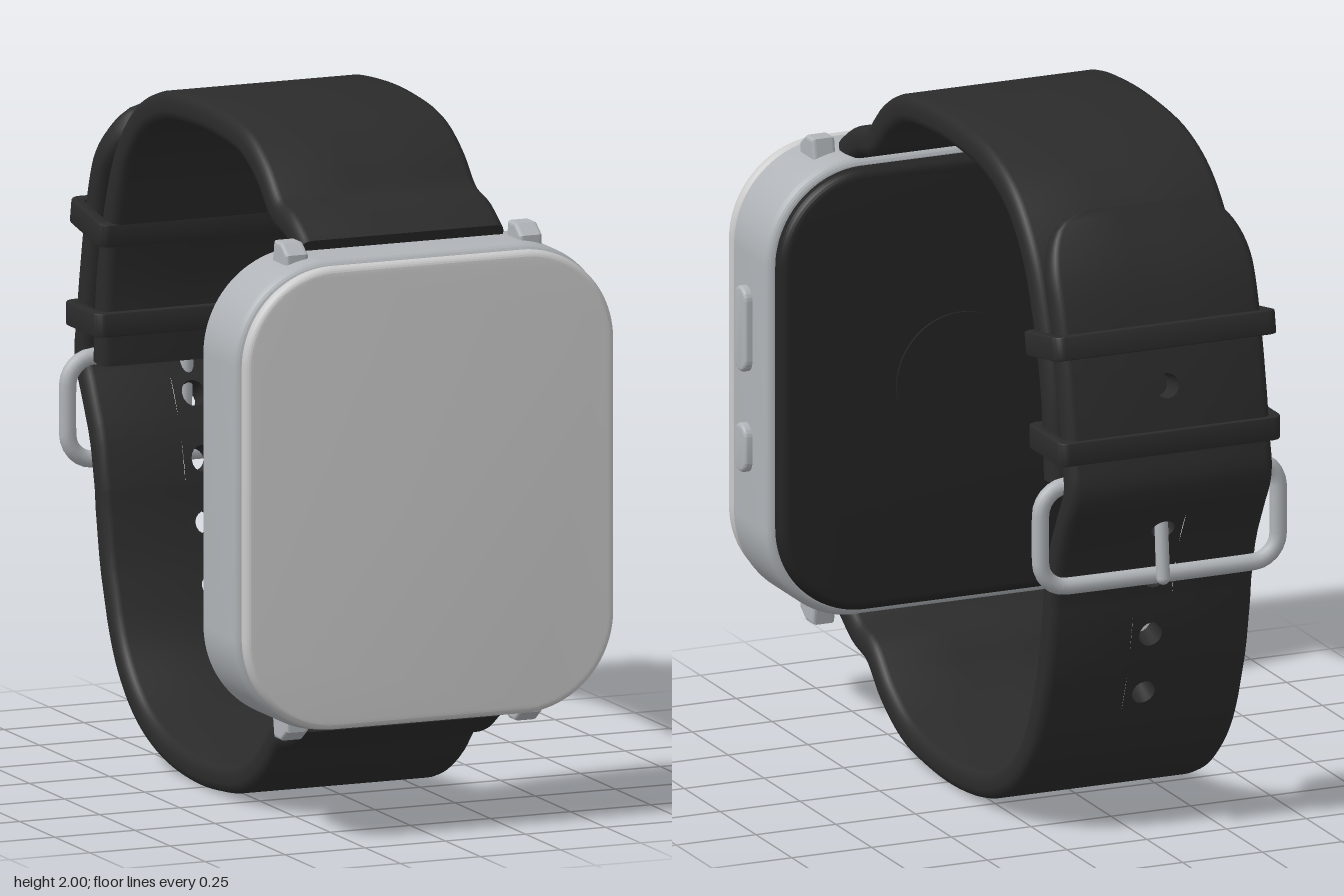
import * as THREE from 'three';
import { toCreasedNormals } from 'three/addons/utils/BufferGeometryUtils.js';

const material = (name, color) => Object.assign(new THREE.MeshStandardMaterial({ color }), { name });

// Rounded rectangle outline centred on the origin
function roundRect(w, h, r, Type = THREE.Shape) {
  const s = new Type(), x = w / 2, y = h / 2;
  s.absarc(x - r, y - r, r, 0, Math.PI / 2);
  s.absarc(r - x, y - r, r, Math.PI / 2, Math.PI);
  s.absarc(r - x, r - y, r, Math.PI, Math.PI * 1.5);
  s.absarc(x - r, r - y, r, Math.PI * 1.5, Math.PI * 2);
  s.closePath();
  return s;
}

// Rounded slab with softened edges, centred, thickness along z
function slab(w, h, r, depth, bevel) {
  const g = new THREE.ExtrudeGeometry(roundRect(w - 2 * bevel, h - 2 * bevel, r - bevel), {
    depth: depth - 2 * bevel, bevelThickness: bevel, bevelSize: bevel, bevelSegments: 6, curveSegments: 16,
  });
  g.translate(0, 0, bevel - depth / 2);
  return toCreasedNormals(g, 0.2);
}

// Strap swept along (z, y) path points, with punched holes at given heights and an optional rounded tip
function strapGeometry(path, half, h, holeHeights = [], tip = 0) {
  const curve = new THREE.CatmullRomCurve3(path.map(([z, y]) => new THREE.Vector3(0, y, z)), false, 'centripetal');
  curve.arcLengthDivisions = 800;
  const length = curve.getLength(), cell = 0.06, hole = 0.036, r = 0.028;
  const widthAt = (s) => {
    const d = tip ? Math.min(1, (length - s) / tip) : 1;
    return half - 0.13 * (1 - Math.sqrt(Math.max(0, 1 - (1 - d) ** 2)));
  };
  const place = (s, x, t) => {
    const u = Math.min(1, Math.max(0, s / length));
    const p = curve.getPointAt(u), d = curve.getTangentAt(u);
    return [x * widthAt(s) / half, p.y + d.z * t, p.z - d.y * t];
  };

  // Cross-section: flat faces with rounded edges
  const loop = [[-cell, -h], [cell, -h]];
  const corner = (x, y, a) => {
    for (let k = 0; k < 4; k++) {
      const b = a + k * Math.PI / 6;
      loop.push([x + r * Math.cos(b), y + r * Math.sin(b)]);
    }
  };
  corner(half - r, r - h, -Math.PI / 2);
  corner(half - r, h - r, 0);
  loop.push([cell, h], [-cell, h]);
  corner(r - half, h - r, Math.PI / 2);
  corner(r - half, r - h, Math.PI);

  // Arc length at which the rear part of the strap reaches each hole height
  const centres = holeHeights.map((y) => {
    let best = 0, gap = 9;
    for (let u = 0.4; u < 1; u += 0.002) {
      const e = Math.abs(curve.getPointAt(u).y - y);
      if (e < gap) { gap = e; best = u * length; }
    }
    return best;
  });
  const stations = centres.flatMap((c) => [c - cell, c + cell]);
  const n = Math.round(length / 0.025);
  for (let i = 0; i <= n; i++) {
    const s = i * length / n;
    if (!centres.some((c) => Math.abs(s - c) < cell + 0.004)) stations.push(s);
  }
  stations.sort((a, b) => a - b);

  const verts = [];
  const quad = (a, b, c, d) => verts.push(...a, ...b, ...c, ...a, ...c, ...d);
  const rows = stations.map((s) => loop.map(([x, t]) => place(s, x, t)));
  for (let i = 0; i < rows.length - 1; i++) {
    const mid = (stations[i] + stations[i + 1]) / 2;
    const punched = centres.some((c) => Math.abs(mid - c) < 0.01);
    for (let j = 0; j < loop.length; j++) {
      if (punched && (j === 0 || j === 10)) continue;
      const k = (j + 1) % loop.length;
      quad(rows[i][j], rows[i][k], rows[i + 1][k], rows[i + 1][j]);
    }
  }
  const last = rows[rows.length - 1];
  for (let j = 1; j < loop.length - 1; j++) {
    verts.push(...rows[0][0], ...rows[0][j + 1], ...rows[0][j]);
    verts.push(...last[0], ...last[j], ...last[j + 1]);
  }
  // Faces around each hole and the hole walls
  for (const c of centres) {
    const at = (k, t, outer) => {
      const a = k * Math.PI / 8, cs = Math.cos(a), sn = Math.sin(a);
      const q = outer ? cell / Math.max(Math.abs(cs), Math.abs(sn)) : hole;
      return place(c + cs * q, sn * q, t);
    };
    for (let k = 0; k < 16; k++) {
      quad(at(k, h), at(k, h, true), at(k + 1, h, true), at(k + 1, h));
      quad(at(k + 1, -h), at(k + 1, -h, true), at(k, -h, true), at(k, -h));
      quad(at(k, h), at(k + 1, h), at(k + 1, -h), at(k, -h));
    }
  }
  const g = new THREE.BufferGeometry();
  g.setAttribute('position', new THREE.Float32BufferAttribute(verts, 3));
  return toCreasedNormals(g, 0.7);
}

export function createModel() {
  const silver = material('silver metal', 0xb0b4b8);
  const glass = material('pale screen', 0xcbcbcb);
  const black = material('black strap', 0x2b2b2b);
  const dark = material('dark back', 0x242424);
  const model = new THREE.Group();
  model.name = 'wristwatch';
  model.position.x = -0.0125;
  const add = (name, geometry, mat, x = 0, y = 0, z = 0) => {
    const m = new THREE.Mesh(geometry, mat);
    m.name = name;
    m.position.set(x, y, z);
    model.add(m);
    return m;
  };

  // Case, screen and back
  const midY = 1.01;
  add('case', slab(1.175, 1.37, 0.29, 0.25, 0.03), silver, 0, midY, 0.747);
  add('screenGap', slab(1.11, 1.31, 0.26, 0.03, 0.003), dark, 0, midY, 0.872);
  add('screen', slab(1.155, 1.35, 0.28, 0.046, 0.022), glass, 0, midY, 0.901);
  add('backPlate', slab(1.12, 1.32, 0.27, 0.08, 0.03), dark, 0, midY, 0.622);
  const sensor = new THREE.CylinderGeometry(0.2, 0.2, 0.009, 48).rotateX(Math.PI / 2);
  add('backSensor', sensor, dark, 0, midY, 0.579);

  // Side buttons
  for (const [name, y, h] of [['longButton', 1.185, 0.255], ['shortButton', 0.83, 0.145]]) {
    add(name, slab(0.08, h, 0.039, 0.07, 0.012).rotateY(Math.PI / 2), silver, 0.577, y, 0.76);
  }

  // Four lugs, mirrored top to bottom
  const lugShape = new THREE.Shape([[0.8, 1.67], [0.8, 1.7], [0.765, 1.725], [0.725, 1.725], [0.715, 1.67]]
    .map(([z, y]) => new THREE.Vector2(z, y - midY)));
  const lug = new THREE.ExtrudeGeometry(lugShape, {
    depth: 0.05, bevelSize: 0.01, bevelThickness: 0.01, bevelSegments: 3,
  }).translate(0, 0, -0.025).rotateY(-Math.PI / 2);
  for (const x of [-0.365, 0.365]) for (const side of [1, -1]) {
    add('lug', lug, silver, x, midY).scale.y = side;
  }

  // Straps
  const half = 0.3175;
  add('upperStrap', strapGeometry([
    [0.71, 1.69], [0.62, 1.745], [0.52, 1.775], [0.42, 1.865], [0.3, 1.93], [0.1, 1.957], [-0.1, 1.957],
    [-0.3, 1.932], [-0.46, 1.86], [-0.58, 1.73], [-0.655, 1.56], [-0.71, 1.35], [-0.732, 1.105],
  ], half, 0.0425), black);
  add('lowerStrap', strapGeometry([
    [0.71, 0.33], [0.62, 0.275], [0.52, 0.245], [0.42, 0.155], [0.28, 0.08], [0.1, 0.049], [-0.1, 0.046],
    [-0.3, 0.077], [-0.46, 0.15], [-0.58, 0.27], [-0.66, 0.44], [-0.71, 0.63], [-0.735, 0.8],
    [-0.79, 0.95], [-0.868, 1.1], [-0.855, 1.2], [-0.81, 1.45], [-0.745, 1.67], [-0.632, 1.855],
  ], half, 0.041, [0.44, 0.62, 0.8, 0.97, 1.38], 0.22), black);

  // Keeper loops
  const ring = roundRect(0.69, 0.235, 0.03);
  ring.holes.push(roundRect(0.64, 0.18, 0.015, THREE.Path));
  const keeper = toCreasedNormals(new THREE.ExtrudeGeometry(ring, {
    depth: 0.06, bevelSize: 0.005, bevelThickness: 0.005, bevelSegments: 2, curveSegments: 6,
  }).translate(0, 0, -0.03).rotateX(-Math.PI / 2), 0.6);
  add('lowerKeeper', keeper, black, 0, 1.228, -0.778);
  add('upperKeeper', keeper, black, 0, 1.515, -0.747).rotation.x = 0.18;

  // Buckle frame and prong
  const outline = roundRect(0.745, 0.3, 0.08).getPoints(6);
  if (outline[0].distanceTo(outline[outline.length - 1]) < 1e-4) outline.pop();
  const frame = new THREE.CatmullRomCurve3(outline.map((p) => new THREE.Vector3(p.x, p.y, 0)), true);
  add('buckleFrame', new THREE.TubeGeometry(frame, 96, 0.025, 12, true), silver, 0, 0.96, -0.81);
  const prong = new THREE.CapsuleGeometry(0.02, 0.32, 6, 12);
  add('buckleProng', prong, silver, 0, 0.965, -0.822).rotation.x = 0.09;

  const root = new THREE.Group();
  root.name = 'watch';
  root.add(model);
  return root;
}
